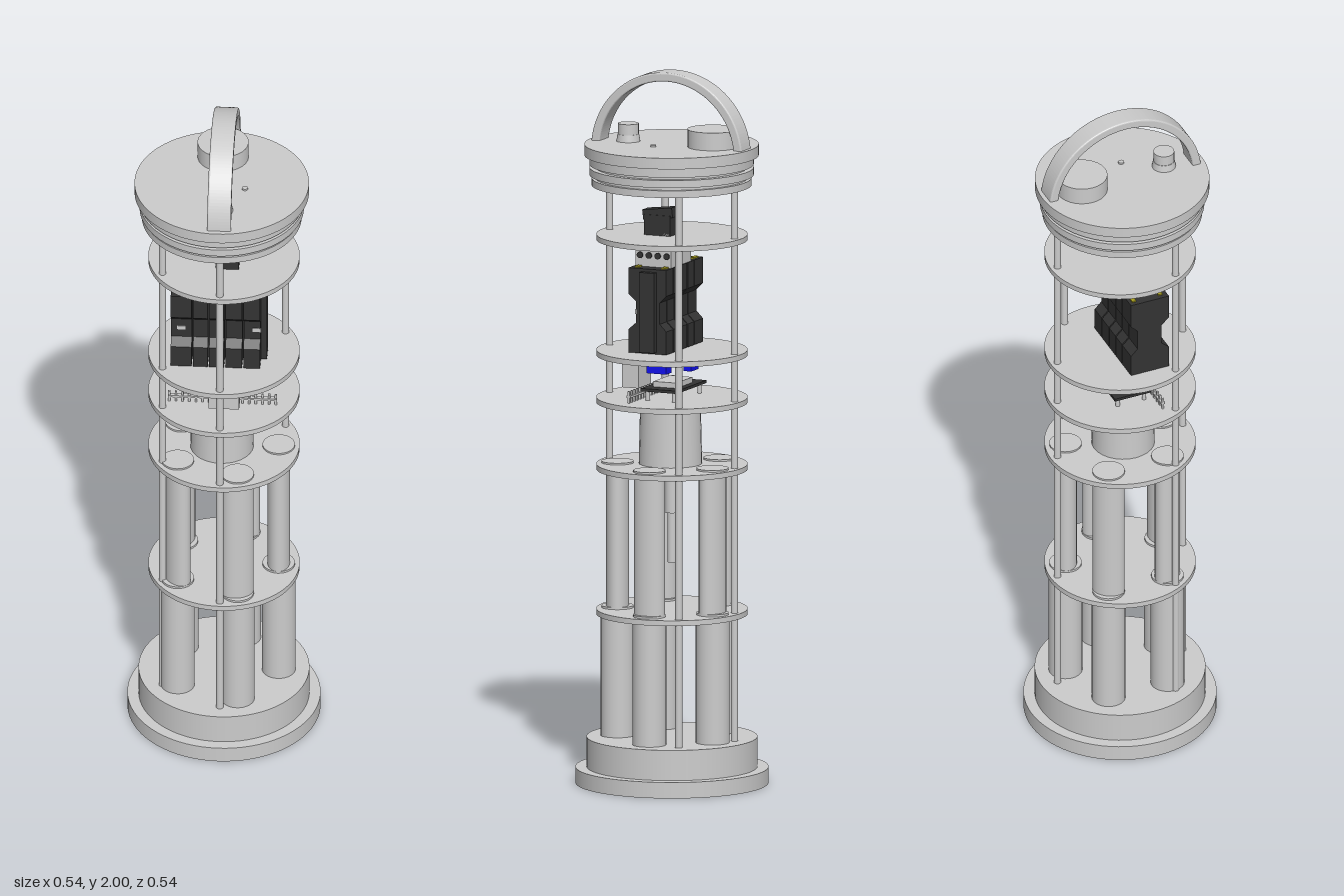
import * as THREE from 'three';
import { RoundedBoxGeometry } from 'three/addons/geometries/RoundedBoxGeometry.js';

const material = (color) => new THREE.MeshStandardMaterial({ color });
const grey = material(0xcccccc);
const black = material(0x333333);
const blue = material(0x1010ee);
const red = material(0xaa1111);
const yellow = material(0xaaa020);

export function createModel() {
  const model = new THREE.Group();

  function add(name, geometry, x, y, z, mat = grey, parent = model) {
    const mesh = new THREE.Mesh(geometry, mat);
    mesh.name = name;
    mesh.position.set(x, y, z);
    parent.add(mesh);
    return mesh;
  }
  // Upright cylinder from y0 to y1
  function cyl(name, r, y0, y1, x = 0, z = 0, rTop = r, mat = grey) {
    const sides = r > 0.1 ? 72 : 28;
    return add(name, new THREE.CylinderGeometry(rTop, r, y1 - y0, sides), x, (y0 + y1) / 2, z, mat);
  }
  // Box given by its limits on each axis
  function box(name, [x0, x1], [y0, y1], [z0, z1], mat = grey) {
    return add(name, new THREE.BoxGeometry(x1 - x0, y1 - y0, z1 - z0),
      (x0 + x1) / 2, (y0 + y1) / 2, (z0 + z1) / 2, mat);
  }

  // Stepped base
  cyl('baseFlange', 0.268, 0, 0.045);
  cyl('basePlug', 0.237, 0.045, 0.13);

  // Shelf plates
  for (const y of [0.475, 0.882, 1.07, 1.203, 1.528]) cyl('shelfPlate', 0.21, y, y + 0.015);

  // Tie rods running from base to cap
  for (const [x, z] of [[0, 0.19], [0, -0.19], [-0.165, 0.095], [0.165, -0.095]])
    cyl('tieRod', 0.01, 0.13, 1.69, x, z);

  // Ring of five tubes: round below, flattened above
  for (let i = 0; i < 5; i++) {
    const a = i * Math.PI * 2 / 5;
    const x = 0.152 * Math.cos(a), z = 0.152 * Math.sin(a);
    cyl('lowerTube', 0.047, 0.13, 0.476, x, z);
    cyl('lowerTubeCap', 0.045, 0.488, 0.496, x, z);
    const upper = cyl('upperTube', 0.045, 0.49, 0.884, x, z);
    upper.scale.x = 0.7;
    upper.rotation.y = -a;
    cyl('upperTubeCap', 0.045, 0.895, 0.902, x, z);
  }

  // Central post hanging under the upper tube plate
  cyl('postHead', 0.02, 0.76, 0.884);
  cyl('post', 0.013, 0.62, 0.76);

  // Drum between the middle plates
  cyl('drum', 0.088, 0.895, 1.07, -0.005, 0.007, 0.084);

  // Circuit board with pin headers
  box('circuitBoard', [-0.1, 0.1], [1.112, 1.12], [-0.06, 0.05], black);
  box('boardChip', [-0.05, 0.06], [1.12, 1.135], [-0.04, 0.03]);
  for (const x of [-0.085, 0.085])
    for (const z of [-0.045, 0.035]) cyl('boardSpacer', 0.006, 1.085, 1.112, x, z);
  box('pinStrip', [-0.15, 0.15], [1.1, 1.106], [0.058, 0.07]);
  for (let i = 0; i < 17; i++) {
    const x = -0.148 + i * 0.0185;
    box('headerPin', [x - 0.003, x + 0.003], [1.085, 1.118], [0.061, 0.067]);
  }

  // Parts hanging under the module shelf
  box('relayBox', [-0.035, 0.05], [1.11, 1.203], [0.08, 0.13]);
  box('redBoard', [-0.11, 0.11], [1.192, 1.2], [-0.075, 0.05], red);
  box('terminalBlock', [-0.11, -0.06], [1.165, 1.192], [-0.03, 0.03], blue);
  box('terminalBlock', [0.07, 0.105], [1.165, 1.192], [-0.03, 0.03], blue);
  box('terminalBlock', [-0.02, 0.03], [1.165, 1.192], [-0.072, -0.048], blue);

  // Row of waisted black control modules, extruded along x
  const profile = new THREE.Shape([
    [-0.03, 1.22], [0.085, 1.22], [0.085, 1.285], [0.062, 1.305], [0.062, 1.365],
    [0.085, 1.385], [0.085, 1.458], [-0.03, 1.458], [-0.03, 1.385], [-0.01, 1.365],
    [-0.01, 1.305], [-0.03, 1.285],
  ].map(([z, y]) => new THREE.Vector2(-z, y)));
  const widths = [0.062, 0.045, 0.045, 0.05, 0.05];
  let left = -0.143;
  for (const w of widths) {
    const g = new THREE.ExtrudeGeometry(profile, { depth: w - 0.004, bevelEnabled: false });
    g.rotateY(Math.PI / 2);
    add('controlModule', g, left, 0, 0, black);
    for (const z of [-0.015, 0.065])
      box('moduleTerminal', [left + 0.012, left + w - 0.016], [1.455, 1.462], [z - 0.006, z + 0.006], yellow);
    left += w;
  }
  box('moduleRail', [-0.14, 0.122], [1.225, 1.45], [0, 0.045], black);
  for (const x of [-0.115, 0.095]) box('moduleLabel', [x - 0.012, x + 0.012], [1.33, 1.342], [0.06, 0.064]);

  // Connector above the modules
  box('connectorBody', [-0.065, 0.068], [1.458, 1.515], [-0.028, 0.08]);
  for (let i = 0; i < 4; i++) {
    const z = -0.015 + i * 0.027;
    for (const x of [-0.067, 0.07]) {
      const hole = add('connectorPort', new THREE.CylinderGeometry(0.009, 0.009, 0.004, 16), x, 1.49, z, black);
      hole.rotation.z = Math.PI / 2;
    }
  }
  box('connectorNeck', [-0.02, 0.045], [1.51, 1.55], [-0.01, 0.06]);

  // Small black plug on the upper shelf
  box('plug', [0.002, 0.045], [1.543, 1.6], [-0.015, 0.065], black);
  const plugTop = box('plugTop', [0.004, 0.043], [1.59, 1.618], [-0.02, 0.07], black);
  plugTop.rotation.x = 0.12;

  // Grooved cap turned as one profile
  const capProfile = [
    [0, 1.68], [0.222, 1.68], [0.222, 1.7], [0.212, 1.7], [0.212, 1.709], [0.228, 1.709],
    [0.228, 1.73], [0.212, 1.73], [0.212, 1.738], [0.228, 1.738], [0.228, 1.764],
    [0.242, 1.764], [0.242, 1.795], [0, 1.795],
  ];
  // One band per profile segment keeps every edge sharp
  const cap = new THREE.Group();
  cap.name = 'cap';
  cap.position.set(-0.006, 0, 0.004);
  model.add(cap);
  for (let i = 1; i < capProfile.length; i++) {
    const pair = [capProfile[i - 1], capProfile[i]].map(([r, y]) => new THREE.Vector2(r, y));
    add('capBand', new THREE.LatheGeometry(pair, 72), 0, 0, 0, grey, cap);
  }

  // Fittings on the cap
  cyl('largeFitting', 0.071, 1.79, 1.845, -0.01, -0.12);
  cyl('smallFittingCollar', 0.034, 1.79, 1.815, 0, 0.133, 0.03);
  cyl('smallFitting', 0.029, 1.815, 1.845, 0, 0.133);
  cyl('ventScrew', 0.008, 1.79, 1.8, 0.06, 0.03);

  // Arched carrying handle
  const arch = new THREE.Shape();
  arch.absarc(0, 0, 0.226, 0, Math.PI, false);
  arch.lineTo(-0.209, 0);
  arch.absarc(0, 0, 0.209, Math.PI, 0, true);
  const handle = new THREE.ExtrudeGeometry(arch, {
    depth: 0.056, curveSegments: 40, bevelSize: 0.004, bevelThickness: 0.005, bevelSegments: 3,
  });
  handle.translate(0, 0, -0.028);
  handle.rotateY(Math.PI / 2);
  add('handle', handle, 0, 1.77, 0.003);
  for (const z of [-0.214, 0.22])
    add('handleFoot', new RoundedBoxGeometry(0.066, 0.03, 0.02, 2, 0.004), 0, 1.785, z);

  return model;
}
